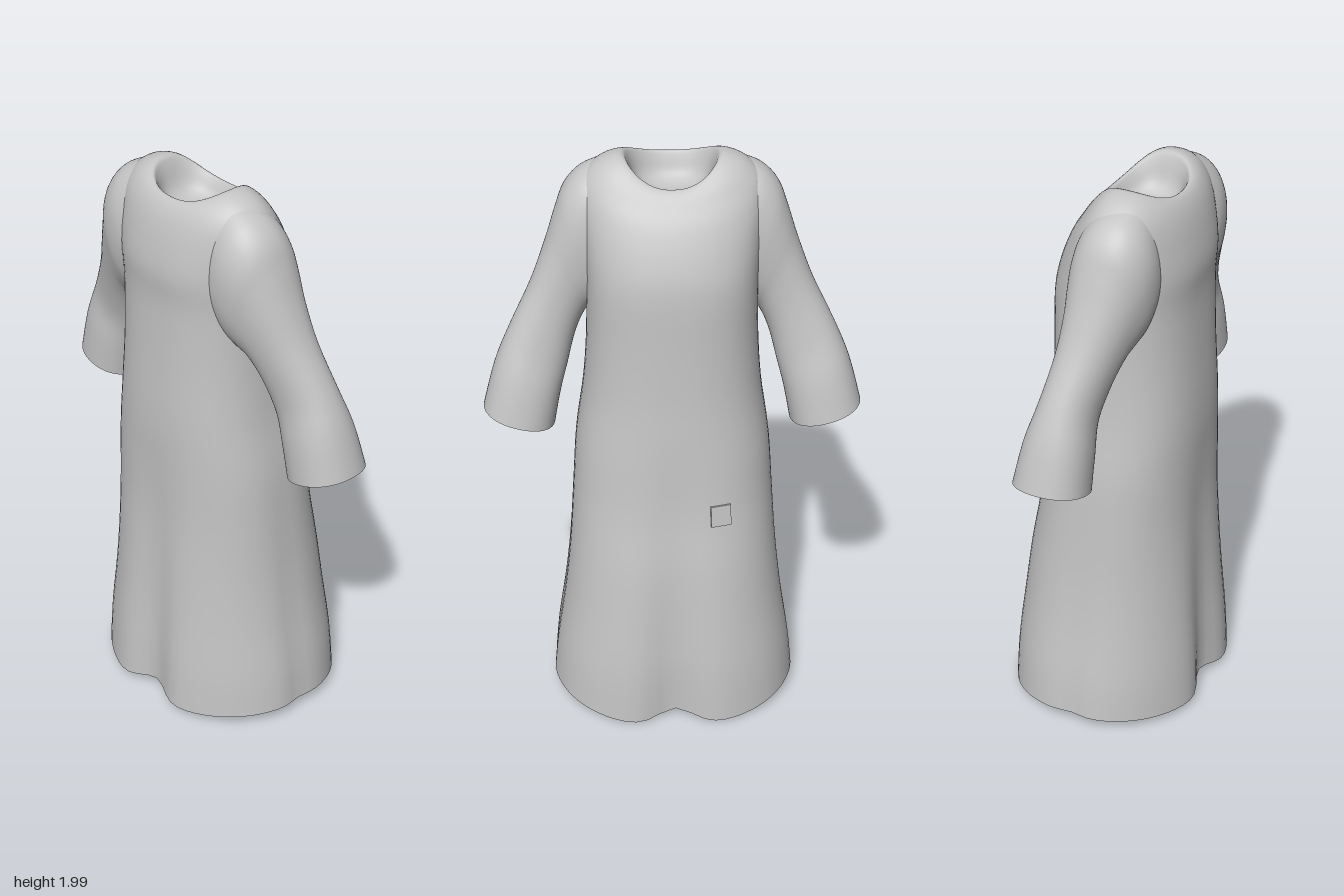
import * as THREE from 'three';

const SEG = 72;
const cloth = new THREE.MeshStandardMaterial({ color: 0xc4c4c4, side: THREE.DoubleSide });
cloth.name = 'grey cloth';

// Smooth curve through the rows of a table, column by column
function refine(rows, steps) {
  const out = [];
  const at = (i) => rows[Math.min(Math.max(i, 0), rows.length - 1)];
  for (let i = 0; i < rows.length - 1; i++) {
    for (let k = 0; k < steps; k++) {
      const t = k / steps;
      out.push(rows[i].map((b, c) => {
        const a = at(i - 1)[c], d = at(i + 1)[c], e = at(i + 2)[c];
        return b + 0.5 * t * (d - a + t * (2 * a - 5 * b + 4 * d - e + t * (3 * (b - d) + e - a)));
      }));
    }
  }
  out.push(rows[rows.length - 1]);
  return out;
}

// Skin over closed rings of points
function loft(name, rings, flip = false) {
  const pos = [], idx = [];
  for (const ring of rings) for (const p of ring) pos.push(...p);
  for (let i = 0; i < rings.length - 1; i++) {
    for (let j = 0; j < SEG; j++) {
      const a = i * SEG + j, b = i * SEG + (j + 1) % SEG, c = a + SEG, d = b + SEG;
      if (flip) idx.push(a, b, c, b, d, c);
      else idx.push(a, c, b, b, c, d);
    }
  }
  const geo = new THREE.BufferGeometry();
  geo.setAttribute('position', new THREE.Float32BufferAttribute(pos, 3));
  geo.setIndex(idx);
  geo.computeVertexNormals();
  const mesh = new THREE.Mesh(geo, cloth);
  mesh.name = name;
  return mesh;
}

const around = (fn) => Array.from({ length: SEG }, (_, j) => {
  const t = (j / SEG) * Math.PI * 2;
  return fn(Math.cos(t), Math.sin(t));
});
const power = (v, p) => Math.sign(v) * Math.abs(v) ** (2 / p);

// Body section: superellipse with hanging folds toward the hem
function bodyRing([yFront, ySide, yBack, x0, x1, half, p]) {
  return around((c, s) => {
    let y = s * s * ySide + c * c * (c > 0 ? yFront : yBack);
    const fold = Math.max(0, 1 - y / 1.1);
    const e = c < 0 ? p - 0.4 * fold : p;
    let z = half * power(s, e);
    let dx = (x1 - x0) / 2 * power(c, e);
    const valley = Math.exp(-((z / 0.09) ** 2));
    dx *= 1 - 0.17 * fold * valley;
    z *= 1 - 0.03 * fold * Math.exp(-((dx / 0.05) ** 2));
    y += 0.03 * valley * Math.max(0, 1 - y / 0.3) * (half > 0.3 ? 1 : 0);
    return [(x0 + x1) / 2 + dx, y, z];
  });
}

// Sleeve section: outer and inner edge (z, y) plus x range
function sleeveRing([zo, yo, zi, yi, x0, x1], side) {
  return around((c, s) => {
    const u = power(s, 2.2);
    return [
      (x0 + x1) / 2 + (x1 - x0) / 2 * power(c, 2.2),
      (yo + yi) / 2 + (yo - yi) / 2 * u,
      side * ((zo + zi) / 2 + (zo - zi) / 2 * u),
    ];
  });
}

export function createModel() {
  const robe = new THREE.Group();
  robe.name = 'robe';

  // Gown from hem to neckline, turning inward to the neck hollow
  // [y front, y side, y back, x back, x front, half width, squareness]
  const body = [
    [0.0, 0.06, 0.03, -0.362, 0.356, 0.435, 2.4],
    [0.2, 0.2, 0.2, -0.35, 0.345, 0.42, 2.4],
    [0.4, 0.4, 0.4, -0.331, 0.322, 0.388, 2.4],
    [0.6, 0.6, 0.6, -0.314, 0.295, 0.364, 2.4],
    [0.8, 0.8, 0.8, -0.3, 0.258, 0.348, 2.4],
    [1.0, 1.0, 1.0, -0.296, 0.235, 0.332, 2.4],
    [1.2, 1.2, 1.2, -0.295, 0.215, 0.302, 2.4],
    [1.4, 1.4, 1.4, -0.285, 0.205, 0.287, 2.4],
    [1.6, 1.6, 1.6, -0.277, 0.197, 0.285, 2.45],
    [1.71, 1.74, 1.72, -0.283, 0.172, 0.295, 2.3],
    [1.81, 1.85, 1.82, -0.268, 0.13, 0.303, 2.15],
    [1.87, 1.925, 1.895, -0.247, 0.09, 0.29, 2.1],
    [1.905, 1.98, 1.94, -0.222, 0.062, 0.233, 2.2],
    [1.917, 2.0, 1.952, -0.2, 0.042, 0.165, 2.3],
    [1.905, 1.97, 1.93, -0.187, 0.03, 0.142, 2.4],
    [1.875, 1.9, 1.885, -0.168, 0.01, 0.118, 2.4],
    [1.86, 1.865, 1.86, -0.13, -0.02, 0.075, 2.3],
    [1.855, 1.855, 1.855, -0.08, -0.08, 0, 2.3],
  ];
  robe.add(loft('gown', refine(body, 4).map(bodyRing)));

  // Recessed underside inside the hem
  const hem = [
    [0.14, 0.15, 0.14, 0, 0, 0, 2.4],
    [0.14, 0.15, 0.14, -0.27, 0.27, 0.34, 2.4],
    [0.11, 0.13, 0.11, -0.32, 0.315, 0.4, 2.4],
    body[0],
  ];
  robe.add(loft('hemLining', hem.map(bodyRing)));

  // Flared sleeves, listed from cuff up to the shoulder, where they sink into the gown
  const sleeve = [
    [0.64, 1.125, 0.4, 1.058, -0.13, 0.12],
    [0.597, 1.28, 0.378, 1.17, -0.128, 0.095],
    [0.542, 1.41, 0.352, 1.27, -0.122, 0.062],
    [0.468, 1.56, 0.322, 1.38, -0.15, 0.037],
    [0.415, 1.7, 0.285, 1.455, -0.183, 0.03],
    [0.383, 1.8, 0.25, 1.48, -0.205, 0.035],
    [0.35, 1.885, 0.2, 1.52, -0.228, 0.04],
    [0.295, 1.943, 0.14, 1.6, -0.232, 0.035],
    [0.22, 1.975, 0.1, 1.7, -0.205, 0.0],
  ];
  const cuff = [
    [0.51, 1.17, 0.51, 1.17, 0, 0],
    [0.575, 1.19, 0.44, 1.14, -0.08, 0.07],
    [0.61, 1.17, 0.415, 1.1, -0.112, 0.1],
    sleeve[0],
  ];
  for (const side of [1, -1]) {
    const label = side > 0 ? 'left' : 'right';
    const ring = (row) => sleeveRing(row, side);
    robe.add(loft(label + 'Sleeve', refine(sleeve, 4).map(ring), side < 0));
    robe.add(loft(label + 'CuffLining', cuff.map(ring), side < 0));
  }

  // Small patch on the front of the gown
  const patch = new THREE.Mesh(new THREE.BoxGeometry(0.008, 0.075, 0.07), cloth);
  patch.name = 'patch';
  patch.position.set(0.241, 0.81, -0.155);
  patch.rotation.set(0, 0.25, 0.135);
  robe.add(patch);

  return robe;
}
